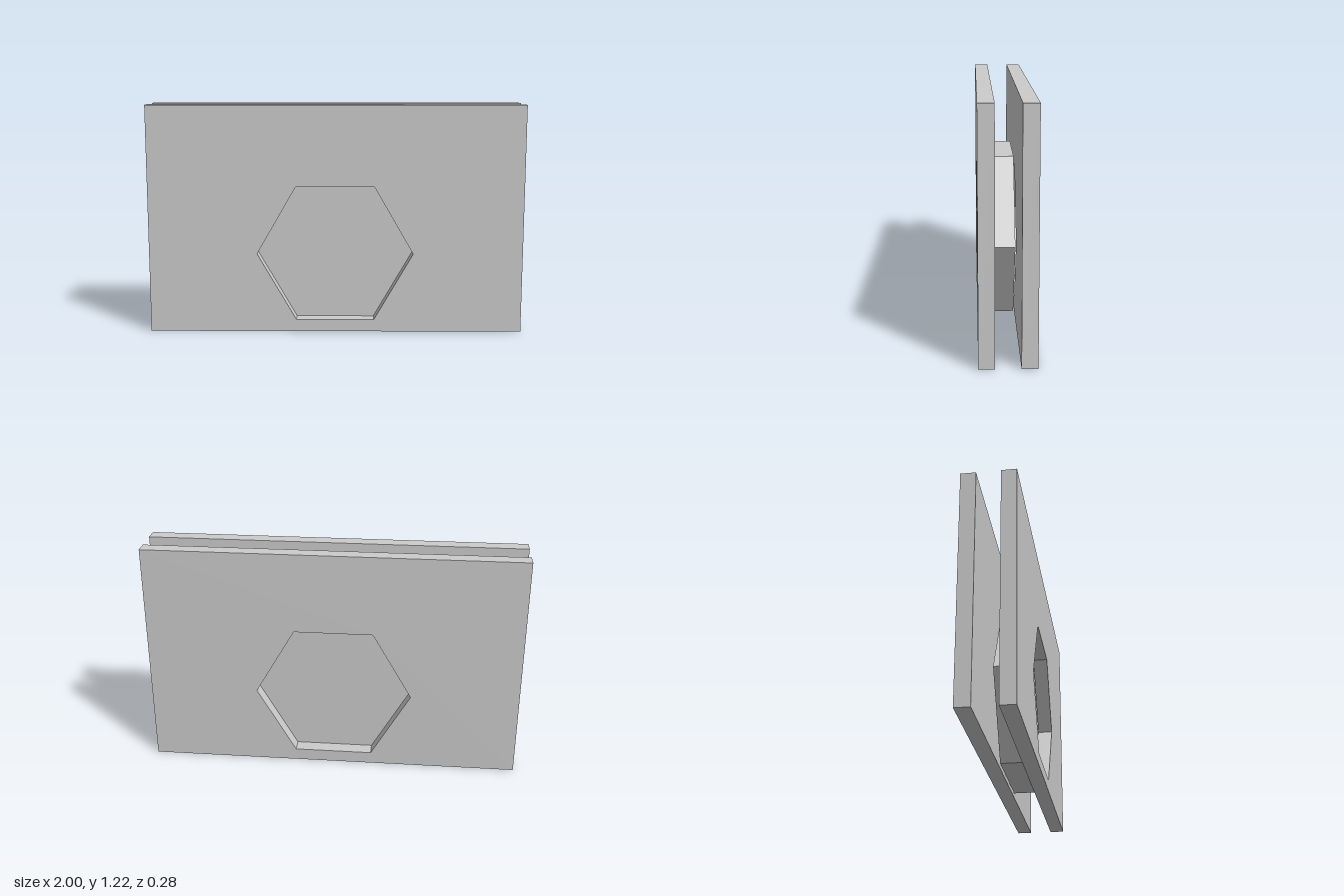
import * as THREE from 'three';

const material = new THREE.MeshStandardMaterial({ color: 0xcccccc, flatShading: true });

// Corners of a flat-topped hexagon
function hexPoints(radius, cx, cy) {
  return Array.from({ length: 6 }, (_, i) => {
    const a = (i * Math.PI) / 3;
    return new THREE.Vector2(cx + radius * Math.cos(a), cy + radius * Math.sin(a));
  });
}

// Extruded slab centred on the given z
function slab(name, shape, depth, z) {
  const geometry = new THREE.ExtrudeGeometry(shape, { depth, bevelEnabled: false });
  geometry.translate(0, 0, z - depth / 2);
  const mesh = new THREE.Mesh(geometry, material);
  mesh.name = name;
  return mesh;
}

export function createModel() {
  const group = new THREE.Group();
  group.name = 'hexagonSandwich';

  // Two outer plates, each with a hexagonal window
  const plate = new THREE.Shape([
    new THREE.Vector2(-0.998, 0.002), new THREE.Vector2(0.998, 0.002),
    new THREE.Vector2(0.998, 1.22), new THREE.Vector2(-0.998, 1.22),
  ]);
  plate.holes.push(new THREE.Path(hexPoints(0.417, -0.003, 0.428).reverse()));
  group.add(slab('frontPlate', plate, 0.077, 0.098));
  group.add(slab('backPlate', plate, 0.077, -0.1));

  // Hexagonal core between the plates, split down the middle into two halves
  const [right, upRight, upLeft, left, lowLeft, lowRight] = hexPoints(0.484, -0.003, 0.432);
  const top = new THREE.Vector2(0, upRight.y);
  const bottom = new THREE.Vector2(0, lowRight.y);
  group.add(slab('coreLeftHalf', new THREE.Shape([bottom, lowRight, right, upRight, top]), 0.11, 0));
  group.add(slab('coreRightHalf', new THREE.Shape([top, upLeft, left, lowLeft, bottom]), 0.11, 0));

  return group;
}
